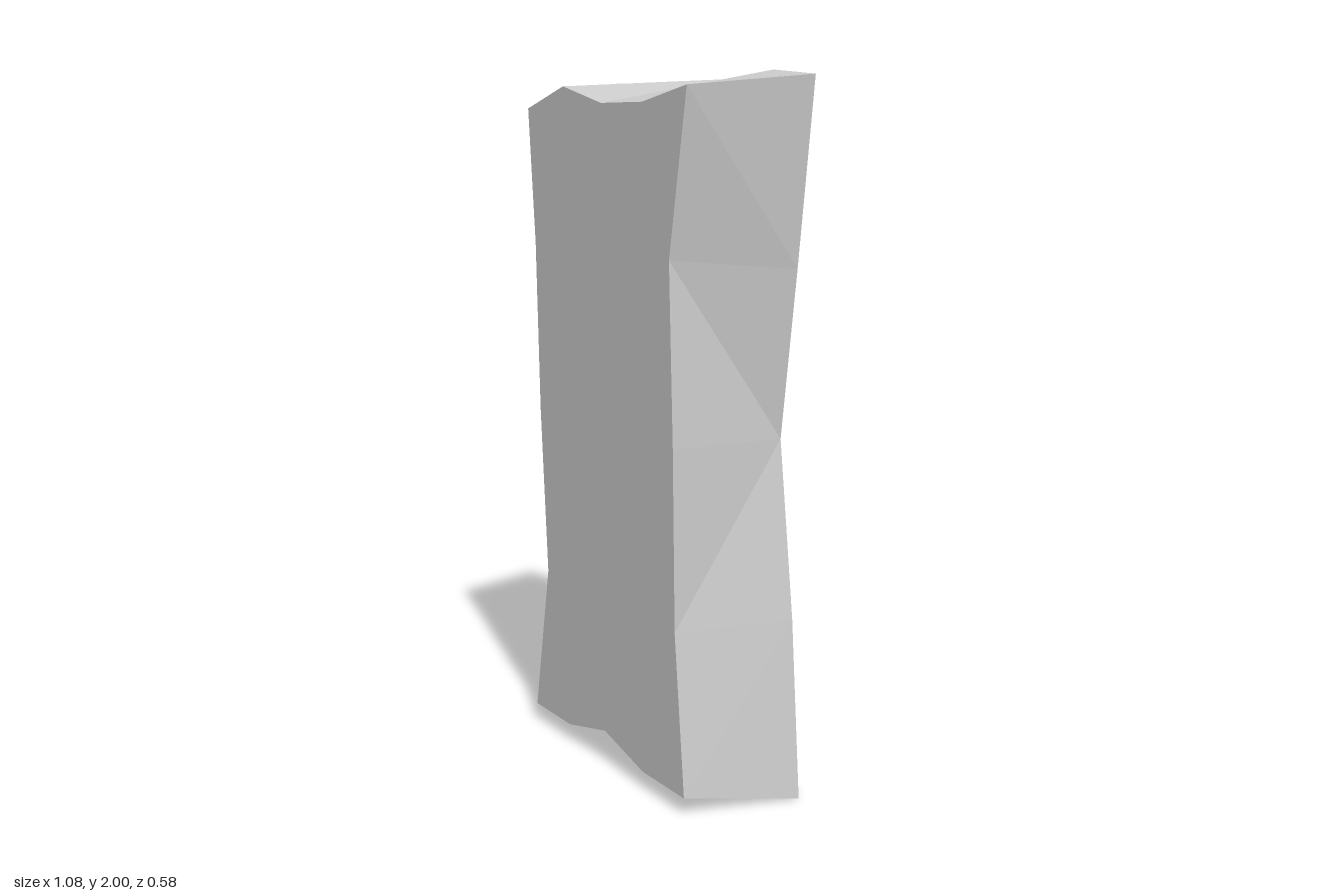
import * as THREE from 'three';

// Rows run bottom to top, columns from the right side (-x) to the left side (+x).
const N = 4;

// Flat front face: outline heights and side edges, z follows a slanted plane
const frontLeftX = [-0.51, -0.42, -0.46, -0.48, -0.52];
const frontRightX = [0.4, 0.35, 0.34, 0.32, 0.41];
const frontBottomY = [0.05, 0.05, 0.1, 0.05, 0.05];
const frontTopY = [1.9, 1.96, 1.91, 1.91, 1.95];

// Chipped back face: [x, y, z] for each row
const back = [
  [[-0.51, 0, -0.29], [-0.26, 0, -0.25], [0, 0, -0.135], [0.25, 0, -0.19], [0.505, 0, -0.04]],
  [[-0.455, 0.5, -0.2], [-0.23, 0.5, -0.167], [0, 0.54, -0.135], [0.23, 0.5, -0.092], [0.455, 0.5, -0.055]],
  [[-0.4, 1, -0.195], [-0.2, 1.06, -0.168], [0, 1.02, -0.14], [0.2, 1.13, -0.092], [0.395, 1, -0.06]],
  [[-0.46, 1.49, -0.205], [-0.23, 1.47, -0.172], [0, 1.58, -0.135], [0.23, 1.42, -0.092], [0.465, 1.47, -0.05]],
  [[-0.54, 1.98, -0.225], [-0.27, 1.965, -0.24], [0, 1.98, -0.19], [0.26, 2, -0.145], [0.535, 1.98, -0.04]],
];

function frontPoint(j, i) {
  const x = THREE.MathUtils.lerp(frontLeftX[j], frontRightX[j], i / N);
  const y = j === 0 ? frontBottomY[i] : j === N ? frontTopY[i] : j * 0.5;
  return [x, y, 0.22 + 0.172 * x];
}
const backPoint = (j, i) => back[j][i];

export function createModel() {
  const positions = [];

  // Corners counter-clockwise; the crease joins b-d, or a-c when flipped
  function quad(a, b, c, d, flip = false) {
    const tris = flip ? [a, b, c, a, c, d] : [a, b, d, b, c, d];
    for (const p of tris) positions.push(...p);
  }

  for (let k = 0; k < N; k++) {
    // Front and back faces
    for (let i = 0; i < N; i++) {
      quad(frontPoint(k, i), frontPoint(k, i + 1), frontPoint(k + 1, i + 1), frontPoint(k + 1, i));
      quad(backPoint(k, i + 1), backPoint(k, i), backPoint(k + 1, i), backPoint(k + 1, i + 1), true);
    }
    // Narrow sides, creased towards the waist
    const upper = k >= 2;
    quad(frontPoint(k, N), backPoint(k, N), backPoint(k + 1, N), frontPoint(k + 1, N), !upper);
    quad(backPoint(k, 0), frontPoint(k, 0), frontPoint(k + 1, 0), backPoint(k + 1, 0), upper);
    // Top and underside
    quad(frontPoint(N, k), frontPoint(N, k + 1), backPoint(N, k + 1), backPoint(N, k), true);
    quad(backPoint(0, k), backPoint(0, k + 1), frontPoint(0, k + 1), frontPoint(0, k));
  }

  const geometry = new THREE.BufferGeometry();
  geometry.setAttribute('position', new THREE.Float32BufferAttribute(positions, 3));
  geometry.computeVertexNormals();

  const slab = new THREE.Mesh(
    geometry,
    new THREE.MeshStandardMaterial({ color: 0xcccccc, flatShading: true })
  );
  slab.name = 'stoneSlab';

  const model = new THREE.Group();
  model.name = 'standingStone';
  model.add(slab);
  return model;
}
